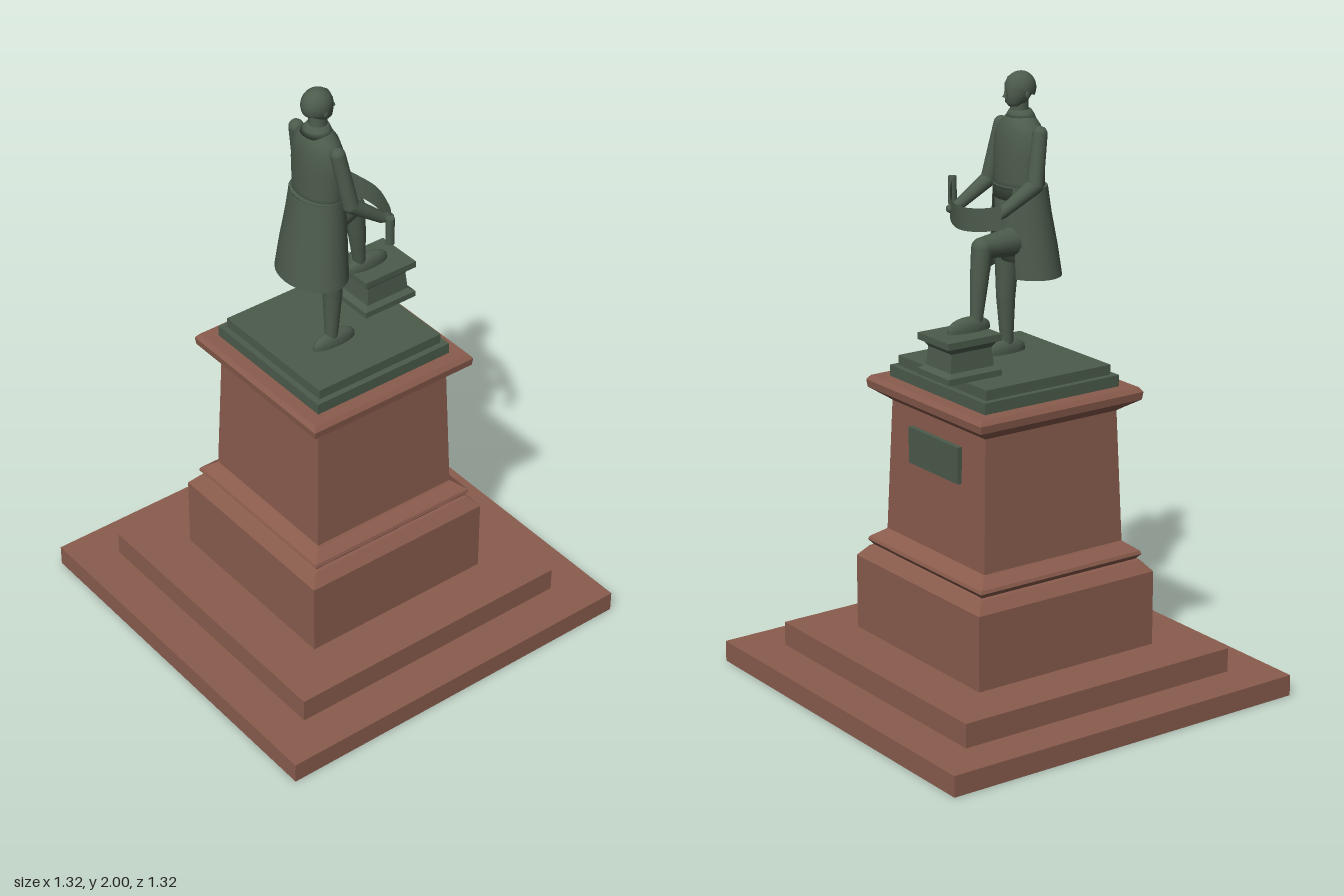
import * as THREE from 'three';

const granite = new THREE.MeshStandardMaterial({ color: 0x8a5c4d });
granite.name = 'red granite';
const bronze = new THREE.MeshStandardMaterial({ color: 0x4c5b4c, side: THREE.DoubleSide });
bronze.name = 'green bronze';

function add(parent, name, geometry, material = bronze, x = 0, y = 0, z = 0) {
  const mesh = new THREE.Mesh(geometry, material);
  mesh.name = name;
  mesh.position.set(x, y, z);
  parent.add(mesh);
  return mesh;
}

// Square moulding turned from a [half width, height] profile
function squareLathe(profile) {
  const points = profile.map(([r, y]) => new THREE.Vector2(r * Math.SQRT2, y));
  const geometry = new THREE.LatheGeometry(points, 4, Math.PI / 4).toNonIndexed();
  geometry.computeVertexNormals();
  return geometry;
}

// Skin over horizontal ellipses [x, y, z, rx, rz], bottom to top; arc < 2 PI leaves it open at the front
function loft(rings, arc = Math.PI * 2, n = 28) {
  const closed = arc > 6.28;
  const cols = closed ? n : n + 1;
  const pos = [], idx = [];
  for (const [x, y, z, rx, rz] of rings) {
    for (let j = 0; j < cols; j++) {
      const t = -arc / 2 + (arc * j) / n;
      pos.push(x + rx * Math.sin(t), y, z + rz * Math.cos(t));
    }
  }
  for (let i = 0; i < rings.length - 1; i++) {
    for (let j = 0; j < n; j++) {
      const a = i * cols + j, b = i * cols + ((j + 1) % cols);
      idx.push(a, b, a + cols, b, b + cols, a + cols);
    }
  }
  if (closed) {
    const top = (rings.length - 1) * cols, centre = rings.length * cols;
    pos.push(...rings[0].slice(0, 3), ...rings[rings.length - 1].slice(0, 3));
    for (let j = 0; j < n; j++) {
      const k = (j + 1) % n;
      idx.push(centre, k, j, centre + 1, top + j, top + k);
    }
  }
  const geometry = new THREE.BufferGeometry();
  geometry.setAttribute('position', new THREE.Float32BufferAttribute(pos, 3));
  geometry.setIndex(idx);
  geometry.computeVertexNormals();
  return geometry;
}

// Tapered limb through joints [x, y, z, radius], with a ball at each joint
function limb(parent, name, joints) {
  const group = new THREE.Group();
  group.name = name;
  parent.add(group);
  joints.forEach(([x, y, z, r], i) => {
    add(group, 'joint', new THREE.SphereGeometry(r, 16, 10), bronze, x, y, z);
    if (i === 0) return;
    const [px, py, pz, pr] = joints[i - 1];
    const from = new THREE.Vector3(px, py, pz), to = new THREE.Vector3(x, y, z);
    const dir = to.clone().sub(from);
    const mid = from.add(to).multiplyScalar(0.5);
    const part = add(group, 'segment', new THREE.CylinderGeometry(r, pr, dir.length(), 16, 1, true),
      bronze, mid.x, mid.y, mid.z);
    part.quaternion.setFromUnitVectors(new THREE.Vector3(0, 1, 0), dir.normalize());
  });
}

function shoe(parent, x, y, z) {
  const upper = new THREE.SphereGeometry(1, 18, 8, 0, Math.PI * 2, 0, Math.PI / 2);
  add(parent, 'shoe', upper, bronze, x, y + 0.01, z).scale.set(0.025, 0.036, 0.08);
  add(parent, 'sole', new THREE.CylinderGeometry(1, 1, 0.012, 18), bronze, x, y + 0.006, z)
    .scale.set(0.026, 1, 0.08);
}

function buildPedestal() {
  const g = new THREE.Group();
  g.name = 'pedestal';
  add(g, 'lowerStep', new THREE.BoxGeometry(1.32, 0.07, 1.32), granite, 0, 0.035, 0);
  add(g, 'upperStep', new THREE.BoxGeometry(1.034, 0.08, 1.034), granite, 0, 0.11, 0);
  add(g, 'shaft', squareLathe([
    [0, 0.15], [0.343, 0.15], [0.343, 0.4], [0.312, 0.437], [0.302, 0.44], [0.316, 0.457],
    [0.312, 0.468], [0.275, 0.495], [0.27, 0.5], [0.255, 0.935], [0.268, 0.945], [0.312, 0.975],
    [0.315, 1.0], [0.304, 1.015], [0, 1.015]]), granite);
  add(g, 'plaque', new THREE.BoxGeometry(0.27, 0.12, 0.016), bronze, 0, 0.82, -0.267);
  add(g, 'lowerBase', new THREE.BoxGeometry(0.52, 0.037, 0.52), bronze, 0, 1.0335, 0);
  add(g, 'upperBase', new THREE.BoxGeometry(0.48, 0.033, 0.48), bronze, 0, 1.0685, 0);
  // Block under the raised foot
  const block = squareLathe([[0, 0], [0.084, 0], [0.084, 0.02], [0.068, 0.032], [0.063, 0.092],
    [0.072, 0.108], [0.084, 0.113], [0.084, 0.135], [0, 0.135]]);
  add(g, 'footBlock', block, bronze, -0.053, 1.085, -0.207).scale.z = 1.2;
  return g;
}

function buildFigure() {
  const g = new THREE.Group();
  g.name = 'figure';

  // Coat: closed bodice, skirt open at the front
  add(g, 'bodice', loft([
    [0.02, 1.6, 0.075, 0.098, 0.07], [0.02, 1.66, 0.073, 0.1, 0.068], [0.02, 1.74, 0.074, 0.103, 0.067],
    [0.02, 1.8, 0.075, 0.1, 0.062], [0.02, 1.835, 0.076, 0.08, 0.055],
    [0.02, 1.858, 0.077, 0.052, 0.043], [0.02, 1.868, 0.077, 0.032, 0.033]]));
  add(g, 'coatSkirt', loft([
    [0.02, 1.355, 0.1, 0.135, 0.102], [0.02, 1.45, 0.093, 0.124, 0.095],
    [0.02, 1.56, 0.083, 0.11, 0.084], [0.02, 1.643, 0.078, 0.1, 0.078]], Math.PI * 5 / 3));
  add(g, 'waistSeam', loft([
    [0.02, 1.638, 0.078, 0.1, 0.078], [0.02, 1.645, 0.077, 0.1, 0.076]]));
  add(g, 'hips', loft([
    [0.02, 1.4, 0.065, 0.06, 0.045], [0.02, 1.46, 0.065, 0.082, 0.06], [0.02, 1.62, 0.07, 0.09, 0.065]]));
  add(g, 'collar', loft([
    [0.02, 1.85, 0.079, 0.058, 0.046], [0.02, 1.868, 0.078, 0.042, 0.042], [0.02, 1.88, 0.077, 0.033, 0.035]]));

  // Head looks toward -z
  add(g, 'neck', new THREE.CylinderGeometry(0.027, 0.031, 0.07, 18), bronze, 0.02, 1.885, 0.074);
  add(g, 'head', loft([
    [0.02, 1.892, 0.058, 0.018, 0.022], [0.02, 1.905, 0.062, 0.031, 0.036], [0.02, 1.93, 0.07, 0.04, 0.046],
    [0.02, 1.96, 0.074, 0.043, 0.048], [0.02, 1.982, 0.075, 0.034, 0.039], [0.02, 1.996, 0.076, 0.015, 0.018]]));
  const hair = add(g, 'hair', new THREE.SphereGeometry(1, 20, 12, 0, Math.PI * 2, 0, Math.PI * 0.54),
    bronze, 0.02, 1.946, 0.077);
  hair.scale.set(0.046, 0.054, 0.052);
  hair.rotation.x = 0.4;
  const nose = add(g, 'nose', new THREE.ConeGeometry(0.009, 0.028, 8), bronze, 0.02, 1.935, 0.022);
  nose.rotation.x = 0.25;
  for (const s of [-1, 1]) {
    add(g, 'ear', new THREE.SphereGeometry(0.01, 10, 8), bronze, 0.02 + s * 0.042, 1.93, 0.075)
      .scale.set(0.5, 1.3, 0.8);
  }

  // Arms
  limb(g, 'leftArm', [[0.122, 1.818, 0.078, 0.024], [0.147, 1.64, 0.048, 0.026],
    [0.165, 1.565, -0.055, 0.018], [0.17, 1.555, -0.085, 0.014]]);
  limb(g, 'rightArm', [[-0.082, 1.818, 0.078, 0.024], [-0.095, 1.66, 0.05, 0.027],
    [-0.055, 1.58, -0.045, 0.019], [-0.05, 1.565, -0.07, 0.015]]);

  // Legs: one straight, the other bent with its foot on the block
  limb(g, 'standingLeg', [[0.065, 1.44, 0.06, 0.042], [0.066, 1.27, 0.055, 0.031], [0.067, 1.12, 0.06, 0.021]]);
  shoe(g, 0.067, 1.085, 0.05);
  limb(g, 'raisedLeg', [[-0.01, 1.47, 0.05, 0.05], [-0.043, 1.475, -0.115, 0.034],
    [-0.046, 1.37, -0.128, 0.029], [-0.05, 1.25, -0.142, 0.02]]);
  shoe(g, -0.05, 1.22, -0.172);

  // Unrolled sheet held in both hands
  const path = new THREE.CatmullRomCurve3([
    [-0.095, 1.575, -0.077], [-0.03, 1.56, -0.11], [0.055, 1.552, -0.125],
    [0.15, 1.553, -0.095], [0.21, 1.568, -0.058], [0.262, 1.588, -0.012],
  ].map((p) => new THREE.Vector3(...p)));
  const sheet = new THREE.PlaneGeometry(1, 0.075, 28, 1);
  const attr = sheet.attributes.position;
  for (let i = 0; i < attr.count; i++) {
    const p = path.getPoint(THREE.MathUtils.clamp(attr.getX(i) + 0.5, 0, 1));
    attr.setXYZ(i, p.x, p.y + attr.getY(i), p.z);
  }
  sheet.computeVertexNormals();
  add(g, 'sheet', sheet);
  add(g, 'sheetRoll', new THREE.CylinderGeometry(0.014, 0.014, 0.09, 14), bronze, 0.265, 1.588, -0.01);
  return g;
}

export function createModel() {
  const model = new THREE.Group();
  model.name = 'monument';
  model.add(buildPedestal(), buildFigure());
  return model;
}
